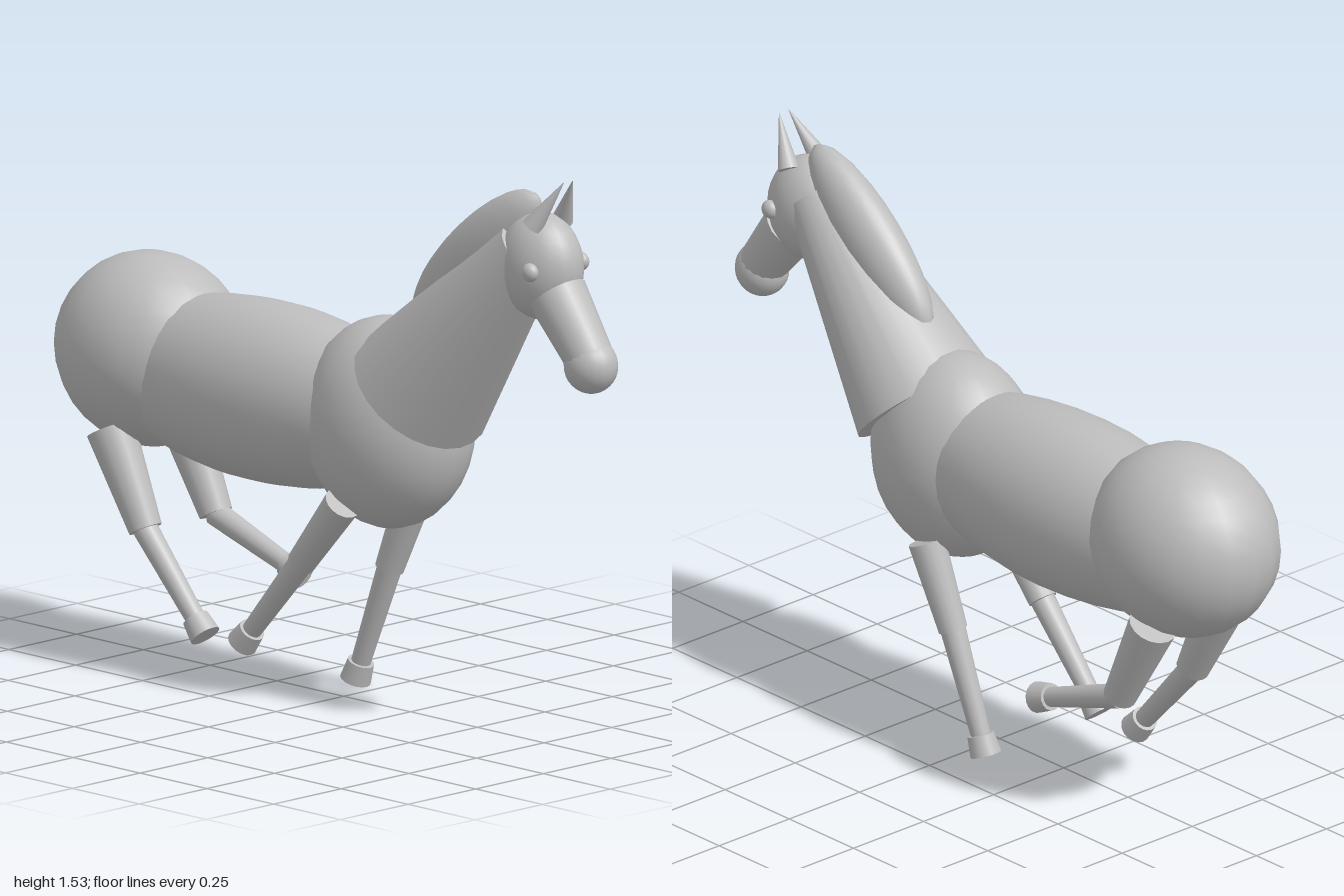
import * as THREE from 'three';

const coat = new THREE.MeshStandardMaterial({ color: 0xbdbdbd });
coat.name = 'coat grey';
const V = (x, y, z) => new THREE.Vector3(x, y, z);

export function createModel() {
  const model = new THREE.Group();
  model.name = 'horse';

  function add(name, geometry, parent = model) {
    const mesh = new THREE.Mesh(geometry, coat);
    mesh.name = name;
    parent.add(mesh);
    return mesh;
  }

  // Ellipsoid from centre and radii
  function ellipsoid(name, center, radii) {
    const mesh = add(name, new THREE.SphereGeometry(1, 20, 16));
    mesh.position.copy(center);
    mesh.scale.copy(radii);
    return mesh;
  }

  // Tapered cylinder from point a (radius ra) to point b (radius rb)
  function limb(name, a, b, ra, rb, parent = model, sides = 16) {
    const dir = b.clone().sub(a);
    const mesh = add(name, new THREE.CylinderGeometry(rb, ra, dir.length(), sides), parent);
    mesh.position.copy(a).add(b).multiplyScalar(0.5);
    mesh.quaternion.setFromUnitVectors(V(0, 1, 0), dir.normalize());
    return mesh;
  }

  // Body
  ellipsoid('haunch', V(0, 0.82, -0.72), V(0.233, 0.26, 0.28));
  ellipsoid('barrel', V(0, 0.778, -0.28), V(0.217, 0.243, 0.6));
  ellipsoid('chest', V(0, 0.77, 0.17), V(0.205, 0.284, 0.25));

  // Neck and mane
  limb('neck', V(0, 0.878, 0.289), V(0, 1.335, 0.705), 0.2, 0.09, model, 24);
  const mane = ellipsoid('mane', V(0, 1.27, 0.5), V(0.075, 0.097, 0.3));
  mane.rotation.x = -Math.atan2(0.67, 0.74);

  // Head
  ellipsoid('head', V(0, 1.288, 0.738), V(0.1, 0.145, 0.127));
  limb('snout', V(0, 1.22, 0.8), V(0, 1.06, 0.925), 0.08, 0.065);
  ellipsoid('muzzle', V(0, 1.048, 0.925), V(0.07, 0.075, 0.075));
  for (const side of [1, -1]) {
    ellipsoid('eye', V(side * 0.094, 1.292, 0.792), V(0.02, 0.025, 0.025));
    limb('ear', V(side * 0.055, 1.405, 0.762), V(side * 0.017, 1.53, 0.84), 0.029, 0.001);
  }

  // Legs: top, knee and hoof centre, with radii at top, knee and ankle
  const legs = [
    ['leftFrontLeg', V(0.132, 0.565, 0.14), V(0.12, 0.335, 0.05), V(0.115, 0.04, -0.062), 0.05, 0.039],
    ['rightFrontLeg', V(-0.132, 0.565, 0.13), V(-0.122, 0.375, -0.035), V(-0.125, 0.142, -0.235), 0.05, 0.039],
    ['leftHindLeg', V(0.13, 0.62, -0.74), V(0.13, 0.37, -0.61), V(0.13, 0.267, -0.317), 0.066, 0.045],
    ['rightHindLeg', V(-0.13, 0.62, -0.74), V(-0.13, 0.37, -0.61), V(-0.13, 0.14, -0.405), 0.066, 0.045],
  ];
  for (const [name, top, knee, foot, rTop, rKnee] of legs) {
    const leg = new THREE.Group();
    leg.name = name;
    model.add(leg);
    limb('upperLeg', top, knee, rTop, rKnee, leg);
    limb('lowerLeg', knee, foot, 0.034, 0.026, leg);
    const step = foot.clone().sub(knee).normalize().multiplyScalar(0.028);
    limb('hoof', foot.clone().sub(step), foot.clone().add(step), 0.036, 0.042, leg);
  }
  return model;
}
